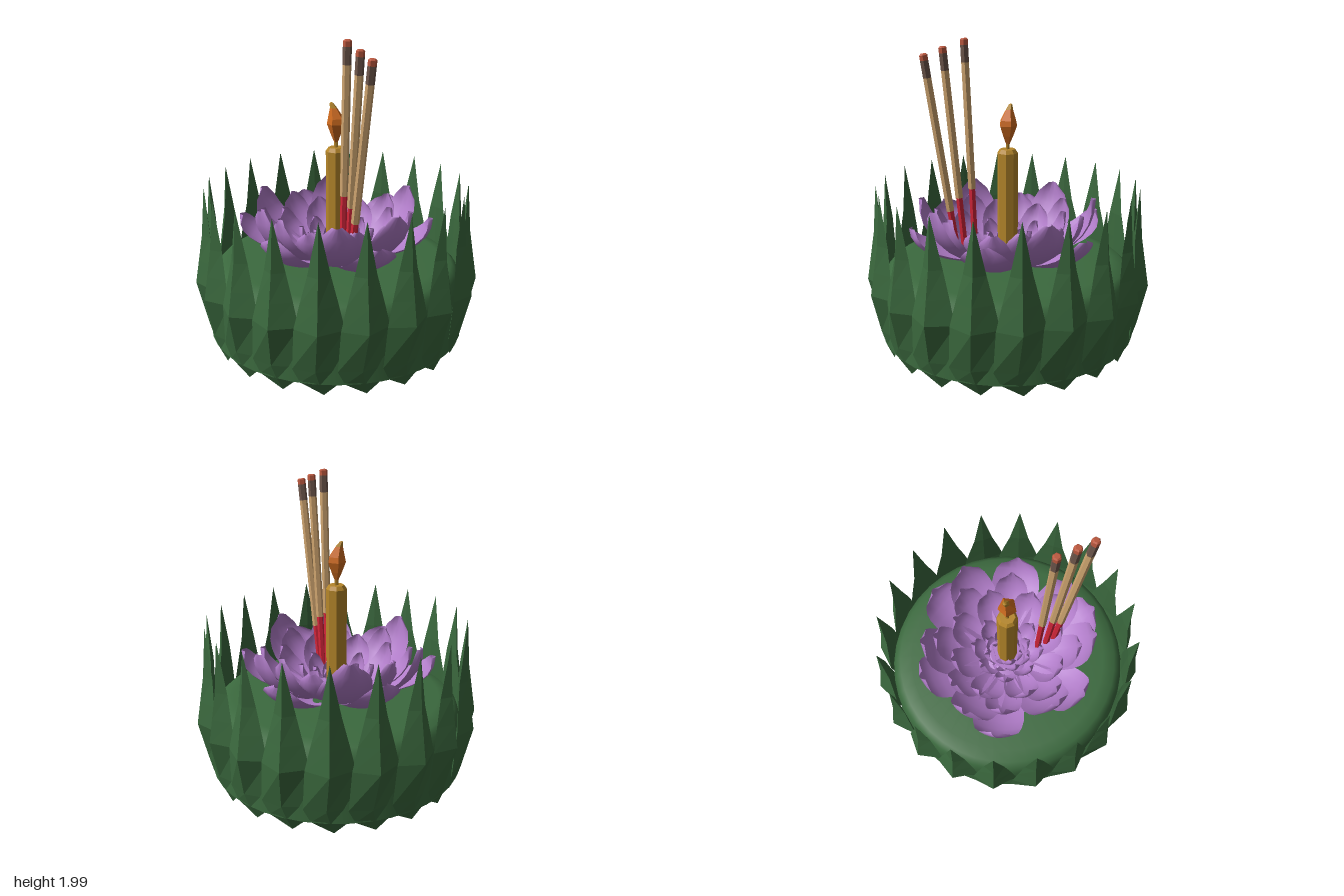
import * as THREE from 'three';

const mat = (name, color, extra = {}) => {
  const m = new THREE.MeshStandardMaterial({ color, ...extra });
  m.name = name;
  return m;
};

function buildGeometry(positions, index) {
  const geo = new THREE.BufferGeometry();
  geo.setAttribute('position', new THREE.Float32BufferAttribute(positions, 3));
  geo.setIndex(index);
  geo.computeVertexNormals();
  return geo;
}

// Skin a stack of equal closed loops (each counter-clockwise from above)
function skinLoops(loops) {
  const n = loops[0].length, index = [];
  for (let j = 0; j < loops.length - 1; j++) {
    for (let i = 0; i < n; i++) {
      const a = j * n + i, b = j * n + (i + 1) % n;
      index.push(a, b, b + n, a, b + n, a + n);
    }
  }
  return buildGeometry(loops.flat(2), index);
}

// Folded leaf: y, ridge radius, edge radius, inner radius, half width, sideways skew
const leafSections = [
  [0.01, 0.80, 0.80, 0.80, 0.00, 0.02],
  [0.10, 0.84, 0.815, 0.79, 0.115, 0.00],
  [0.19, 0.865, 0.82, 0.80, 0.14, -0.02],
  [0.45, 0.925, 0.835, 0.82, 0.145, 0.00],
  [0.60, 0.90, 0.83, 0.82, 0.11, 0.00],
  [0.77, 0.872, 0.825, 0.82, 0.066, 0.00],
  [1.09, 0.845, 0.845, 0.845, 0.00, 0.00],
];
function leafGeometry() {
  return skinLoops(leafSections.map(([y, ridge, edge, inner, w, s]) => [
    [s, y, ridge], [s + w, y, edge - w * 0.06], [s, y, inner], [s - w, y, edge + w * 0.1],
  ]));
}

// Cupped petal, rounded from above and pointed from the side, growing along +z
function petalGeometry(reach, top, width, cup) {
  const rows = 9, cols = 6, n = cols + 1, base = 0.565, pos = [], index = [];
  for (let j = 0; j <= rows; j++) {
    const u = j / rows;
    const w = width * (0.2 + 0.8 * Math.sin(Math.PI / 2 * Math.min(1, u / 0.6))) * Math.sqrt(1 - 0.97 * u ** 4);
    const r = 0.03 + (reach - 0.03) * Math.sin(u * Math.PI / 2);
    const y = base + (top - base) * u * u;
    for (let i = 0; i <= cols; i++) {
      const v = i / cols * 2 - 1;
      pos.push(v * w, y + cup * v * v * Math.sin(u * Math.PI), r - 0.03 * v * v * u);
    }
  }
  for (let j = 0; j < rows; j++) {
    for (let i = 0; i < cols; i++) {
      const a = j * n + i;
      index.push(a, a + n + 1, a + 1, a, a + n, a + n + 1);
    }
  }
  return buildGeometry(pos, index);
}

export function createModel() {
  const leafGreen = mat('leafGreen', 0x3b693e, { flatShading: true });
  const baseGreen = mat('baseGreen', 0x3b693e);
  const petalPurple = mat('petalPurple', 0xb07cc8, { side: THREE.DoubleSide });
  const candleGold = mat('candleGold', 0xb5862a, { flatShading: true });
  const flameOrange = mat('flameOrange', 0xd06c20, { flatShading: true });
  const stickTan = mat('stickTan', 0xcfa570, { flatShading: true });
  const ashBrown = mat('ashBrown', 0x6e574c, { flatShading: true });
  const emberRed = mat('emberRed', 0xbe5a40, { flatShading: true });
  const stickRed = mat('stickRed', 0xd4263a, { flatShading: true });

  const model = new THREE.Group();
  model.name = 'floatingOffering';
  const add = (parent, name, geo, material) => {
    const mesh = new THREE.Mesh(geo, material);
    mesh.name = name;
    parent.add(mesh);
    return mesh;
  };
  const group = (name) => {
    const g = new THREE.Group();
    g.name = name;
    model.add(g);
    return g;
  };
  const lathe = (points, sides) => new THREE.LatheGeometry(points.map(p => new THREE.Vector2(...p)), sides);

  // Round base with a soft top edge and a flat underside
  const profile = [[0.84, 0.1], [0.825, 0.3], [0.82, 0.44], [0.80, 0.51], [0.76, 0.55], [0.68, 0.57], [0.4, 0.58], [0, 0.58]];
  add(model, 'base', lathe(profile, 40), baseGreen);
  const underside = add(model, 'underside', new THREE.CircleGeometry(0.84, 40), baseGreen);
  underside.rotation.x = Math.PI / 2;
  underside.position.y = 0.1;

  // Ring of folded leaves
  const leaves = group('leafRing');
  const leafGeo = leafGeometry();
  for (let i = 0; i < 20; i++) {
    add(leaves, 'leaf', leafGeo, leafGreen).rotation.y = i * Math.PI / 10 + 0.035;
  }

  // Flower layers: angles in degrees, reach, top, half width, cup
  const flower = group('flower');
  const even = (count, start) => Array.from({ length: count }, (_, i) => start + i * 360 / count);
  const layers = [
    [even(6, 49), 0.65, 0.83, 0.18, 0.05],
    [[27, 67, 147, 210, 268, 330], 0.59, 0.96, 0.17, 0.04],
    [even(8, 22), 0.50, 0.88, 0.13, 0.04],
    [even(8, 0), 0.41, 0.84, 0.12, 0.04],
    [even(8, 22), 0.25, 0.76, 0.075, 0.03],
    [even(8, 0), 0.17, 0.72, 0.055, 0.02],
    [even(6, 10), 0.11, 0.68, 0.05, 0.01],
  ];
  for (const [angles, reach, top, width, cup] of layers) {
    const variants = [petalGeometry(reach, top, width, cup), petalGeometry(reach * 0.97, top + 0.02, width, cup)];
    angles.forEach((angle, i) => {
      add(flower, 'petal', variants[i % 2], petalPurple).rotation.y = THREE.MathUtils.degToRad(angle);
    });
  }
  add(flower, 'flowerHeart', new THREE.CylinderGeometry(0.12, 0.2, 0.03, 12), petalPurple).position.y = 0.6;

  // Candle with a bevelled rim, wick and leaning flame
  const candle = group('candle');
  add(candle, 'candleBody', lathe([[0.067, 0.58], [0.067, 1.28], [0.05, 1.305], [0, 1.305]], 8), candleGold)
    .rotation.y = Math.PI / 8;
  add(candle, 'wick', new THREE.CylinderGeometry(0.013, 0.013, 0.06, 6), candleGold).position.y = 1.325;
  const ring = (y, r, x) => Array.from({ length: 5 }, (_, i) => {
    const a = i * Math.PI * 2 / 5;
    return [x + r * Math.sin(a), y, r * Math.cos(a)];
  });
  const shoulder = ring(1.555, 0.024, -0.018);
  const flameRings = [ring(1.335, 0.012, 0), ring(1.39, 0.036, 0), ring(1.455, 0.06, 0), ring(1.49, 0.053, 0), shoulder];
  add(candle, 'flame', skinLoops(flameRings), flameOrange);
  add(candle, 'flameTip', skinLoops([shoulder, ring(1.585, 0.012, -0.033), ring(1.592, 0, -0.035)]), candleGold);

  // Three incense sticks: foot point, tip point and length of the red foot
  const sticks = group('incenseSticks');
  const stickData = [
    [[0.13, 0.6, 0.17], [0.175, 2.0, 0.205], 0.45],
    [[0.185, 0.6, 0.21], [0.293, 1.955, 0.28], 0.4],
    [[0.22, 0.6, 0.245], [0.397, 1.915, 0.345], 0.32],
  ];
  const up = new THREE.Vector3(0, 1, 0);
  for (const [foot, tip, red] of stickData) {
    const a = new THREE.Vector3(...foot), b = new THREE.Vector3(...tip);
    const length = a.distanceTo(b), dir = b.clone().sub(a).normalize();
    const stick = new THREE.Group();
    stick.name = 'incenseStick';
    stick.position.copy(a);
    stick.quaternion.setFromUnitVectors(up, dir);
    sticks.add(stick);
    const part = (name, from, to, r0, r1, material) => {
      add(stick, name, new THREE.CylinderGeometry(r1, r0, to - from, 6), material).position.y = (from + to) / 2;
    };
    part('stickFoot', 0, red, 0.022, 0.022, stickRed);
    part('stickBody', red, length - 0.145, 0.026, 0.026, stickTan);
    part('stickAsh', length - 0.145, length - 0.04, 0.0265, 0.0265, ashBrown);
    part('stickEmber', length - 0.04, length - 0.008, 0.0265, 0.0265, emberRed);
    part('stickEmberCap', length - 0.008, length, 0.0265, 0.018, emberRed);
  }
  return model;
}
